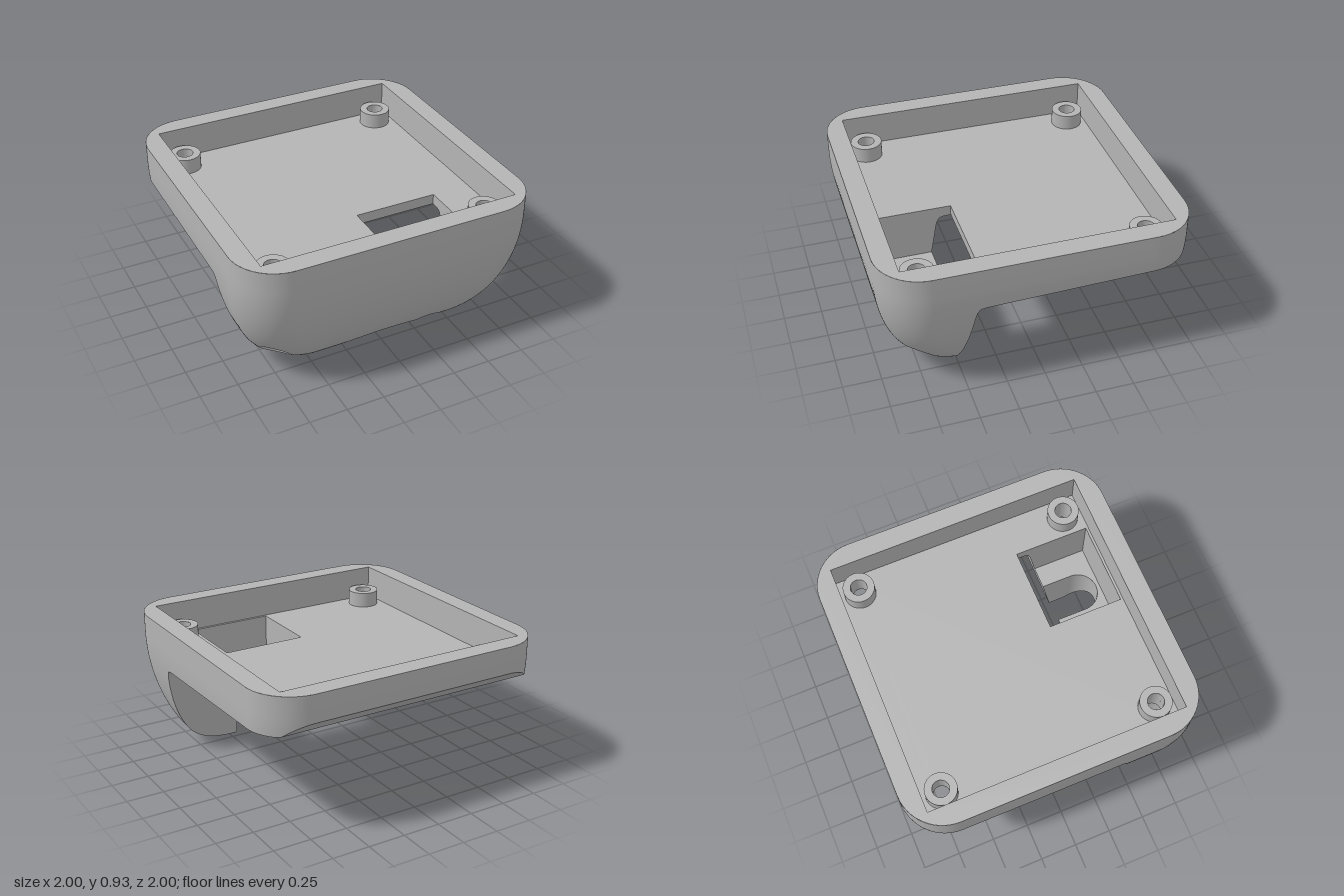
import * as THREE from 'three';
import { toCreasedNormals } from 'three/addons/utils/BufferGeometryUtils.js';

const R = 0.3, RIM = 0.92, FLOOR = 0.7, LEDGE = 0.35, POST_TOP = 0.805, BORE_TOP = 0.6;
const CURVE = 0.78, FLAT = 0.6;            // height of the curved flank, half width of the flat base
const TRAY = 0.867, SCREW = 0.735, POST_R = 0.105, HOLE_R = 0.055;
const BOX = { x0: 0.03, x1: 0.6, z0: 0.34, z1: 0.85 };
const SLOT = { x: 0.315, z: 0.69, r: 0.135 };
const ARCH = { r: 0.879, y: -0.749 };
// side profile of the undercut: [z, y]
const CUT = [[0.54, 0], [0.44, 0.575], [0.43, 0.603], [0.415, 0.62], [0.39, 0.627],
  [0.34, 0.628], [-0.9, 0.66], [-0.92, 0.664], [-1, 0.74]];

const lin = (a, b, n) => Array.from({ length: n + 1 }, (_, i) => a + (b - a) * i / n);
const join = (...lists) => lists.flat().filter((v, i, l) => i === 0 || v - l[i - 1] > 1e-9);

// point on a rounded square of half width s, u = 0..8 (side, corner, side, ...)
function roundedSquare(u, s) {
  const k = Math.floor(u / 2), f = u - 2 * k, e = s - R, a = (f - 1) * Math.PI / 2;
  let x = f < 1 ? s : e + R * Math.cos(a);
  let z = f < 1 ? e * (2 * f - 1) : e + R * Math.sin(a);
  for (let i = 0; i < k; i++) [x, z] = [-z, x];
  return [x, z];
}

function cutPoint(t) {
  const i = Math.min(Math.floor(t), CUT.length - 2), f = t - i;
  return [0, 1].map(j => CUT[i][j] + (CUT[i + 1][j] - CUT[i][j]) * f);
}
function cutHeight(z) {
  let i = 0;
  while (i < CUT.length - 2 && z < CUT[i + 1][0]) i++;
  const [a, b] = [CUT[i], CUT[i + 1]];
  return a[1] + (b[1] - a[1]) * (z - a[0]) / (b[0] - a[0]);
}

// trimming rules: positive where material remains
const inShell = ([x, y, z]) => {
  const a = Math.abs(x), b = Math.abs(z), d = a - b;
  const size = Math.abs(d) < R ? (a + b - Math.sqrt(2 * R * R - d * d)) / 2 + R : Math.max(a, b);
  const c = Math.max(0, 1 - y / CURVE);
  return FLAT + (1 - FLAT) * Math.sqrt(Math.max(0, 1 - c * c)) - size;
};
const aboveCut = ([, y, z]) => y - cutHeight(z);
const aboveArch = ([x, y]) => Math.hypot(x, y - ARCH.y) - ARCH.r;
const outsideSlot = ([x, y, z]) => Math.max(
  Math.hypot(x - SLOT.x, Math.max(0, z - SLOT.z)) - SLOT.r, y - LEDGE - 0.01);
const outsideBox = ([x, y, z]) => Math.max(
  BOX.x0 - x, x - BOX.x1, BOX.z0 - z, z - BOX.z1, LEDGE - y);
const outsideBores = ([x, , z]) => Math.hypot(Math.abs(x) - SCREW, z - SCREW) - POST_R;
const outsideHoles = ([x, , z]) => Math.hypot(Math.abs(x) - SCREW, Math.abs(z) - SCREW) - HOLE_R;

// grid surface point(u, v), trimmed cell by cell with the rules
function surface(us, vs, point, rules = []) {
  const out = [];
  const clip = (poly, rule) => {
    const f = p => rule(point(p[0], p[1])) - 1e-6;
    const vals = poly.map(f);
    if (vals.every(v => v > 0)) return poly;
    const kept = [];
    poly.forEach((a, i) => {
      const j = (i + 1) % poly.length, b = poly[j];
      if (vals[i] > 0) kept.push(a);
      if (vals[i] > 0 === vals[j] > 0) return;
      let [p, q] = vals[i] > 0 ? [a, b] : [b, a];
      for (let n = 0; n < 16; n++) {
        const m = [(p[0] + q[0]) / 2, (p[1] + q[1]) / 2];
        if (f(m) > 0) p = m; else q = m;
      }
      kept.push(p);
    });
    return kept;
  };
  const A = new THREE.Vector3(), B = new THREE.Vector3(), C = new THREE.Vector3();
  for (let i = 0; i < us.length - 1; i++) for (let j = 0; j < vs.length - 1; j++) {
    let poly = [[us[i], vs[j]], [us[i], vs[j + 1]], [us[i + 1], vs[j + 1]], [us[i + 1], vs[j]]];
    for (const rule of rules) if (poly.length) poly = clip(poly, rule);
    const pts = poly.map(p => point(p[0], p[1]));
    for (let k = 1; k < pts.length - 1; k++) {
      A.fromArray(pts[0]); B.fromArray(pts[k]).sub(A); C.fromArray(pts[k + 1]).sub(A);
      if (B.cross(C).length() > 1e-9) out.push(...pts[0], ...pts[k], ...pts[k + 1]);
    }
  }
  const g = new THREE.BufferGeometry();
  g.setAttribute('position', new THREE.Float32BufferAttribute(out, 3));
  return toCreasedNormals(g, 0.5);
}

const rect = (x0, z0, x1, z1) => [[x0, z0], [x1, z0], [x1, z1], [x0, z1]].map(p => new THREE.Vector2(...p));
const circle = (r, x = 0, z = 0) => new THREE.Path().absarc(x, z, r, 0, Math.PI * 2);
// flat horizontal plate facing up; outline is given in x and -z
function plate(points, holes, y) {
  const s = new THREE.Shape(points);
  s.holes = holes;
  return new THREE.ShapeGeometry(s, 24).rotateX(-Math.PI / 2).translate(0, y, 0);
}

export function createModel() {
  const model = new THREE.Group();
  const grey = new THREE.MeshStandardMaterial({ color: 0xb4b4b4, side: THREE.DoubleSide });
  grey.name = 'grey plastic';
  const add = (name, geometry) => {
    const mesh = new THREE.Mesh(geometry, grey);
    mesh.name = name;
    model.add(mesh);
    return mesh;
  };

  // rounded outer shell: base ring, curved flank, upright band
  add('outerShell', surface(lin(0, 8, 320), join(lin(-1, 0, 2), lin(0, 1, 32), lin(1, 2, 2)), (u, v) => {
    const t = Math.min(Math.max(v, 0), 1) * Math.PI / 2;
    const s = v < 0 ? FLAT + 0.15 * v : FLAT + (1 - FLAT) * Math.sin(t);
    const y = v > 1 ? CURVE + (v - 1) * (RIM - CURVE) : CURVE * (1 - Math.cos(t));
    const [x, z] = roundedSquare(u, s);
    return [x, y, z];
  }, [aboveCut, aboveArch, outsideSlot, outsideBores]));

  // undercut: sloping rear of the foot, flat underside, rear chamfer
  add('underside', surface(
    join(lin(-1, BOX.x0, 46), lin(BOX.x0, BOX.x1, 24), lin(BOX.x1, 1, 20)),
    join(lin(0, 1, 24), lin(1, 5, 4), lin(5, 6, 56), lin(6, 8, 6)),
    (x, t) => { const [z, y] = cutPoint(t); return [x, y, z]; },
    [inShell, aboveArch, outsideSlot, outsideBox, outsideHoles]));

  // shallow arch through the foot
  add('footArch', surface(lin(-0.47, 0.47, 60), lin(0.45, 0.9, 30),
    (x, z) => [x, ARCH.y + Math.sqrt(ARCH.r ** 2 - x * x), z], [inShell, aboveCut, outsideSlot]));

  // cable slot, ledge and connector box
  add('cableSlot', surface(join(lin(-1, 0, 6), lin(0, 1, 28), lin(1, 2, 6)), lin(-0.02, LEDGE, 14), (u, y) => {
    const a = Math.min(Math.max(u, 0), 1) * Math.PI;
    const back = Math.max(0, -u, u - 1) * 0.25;
    return [SLOT.x + SLOT.r * Math.cos(a), y, SLOT.z + SLOT.r * Math.sin(a) - back];
  }, [inShell, aboveCut, aboveArch]));
  add('slotLedge', surface(lin(BOX.x0, BOX.x1, 36), lin(0.44, BOX.z1, 28),
    (x, z) => [x, LEDGE, z], [aboveCut, outsideSlot]));
  const corners = rect(BOX.x0, BOX.z0, BOX.x1, BOX.z1);
  add('connectorBox', surface(lin(0, 4, 80), lin(LEDGE, FLOOR, 12), (u, y) => {
    const i = Math.floor(u) % 4, p = corners[i].clone().lerp(corners[(i + 1) % 4], u - Math.floor(u));
    return [p.x, y, p.y];
  }, [aboveCut]));

  // tray: floor, walls and rim
  const holes = [];
  for (const x of [-SCREW, SCREW]) for (const z of [-SCREW, SCREW]) holes.push(circle(HOLE_R, x, z));
  const opening = new THREE.Path(rect(BOX.x0, -BOX.z1, BOX.x1, -BOX.z0));
  add('trayFloor', plate(rect(-TRAY, -TRAY, TRAY, TRAY), [...holes, opening], FLOOR));
  for (let i = 0; i < 4; i++) {
    const wall = new THREE.PlaneGeometry(2 * TRAY, RIM - FLOOR).translate(0, (RIM + FLOOR) / 2, -TRAY);
    add('trayWall', wall.rotateY(i * Math.PI / 2));
  }
  const outline = lin(0, 8, 96).slice(0, -1).map(u => new THREE.Vector2(...roundedSquare(u, 1)));
  add('rim', plate(outline, [new THREE.Path(rect(-TRAY, -TRAY, TRAY, TRAY))], RIM));

  // screw posts with through holes, and deep bores under the front pair
  const tube = (r, x, z, y0, y1, rules) => surface(lin(0, Math.PI * 2, 40), lin(y0, y1, 10),
    (a, y) => [x + r * Math.cos(a), y, z + r * Math.sin(a)], rules);
  const ring = (x, z, y) => plate(circle(POST_R).getPoints(40), [circle(HOLE_R)], y).translate(x, 0, z);
  for (const x of [-SCREW, SCREW]) for (const z of [-SCREW, SCREW]) {
    add('screwPost', tube(POST_R, x, z, FLOOR, POST_TOP));
    add('screwPostTop', ring(x, z, POST_TOP));
    add('screwHole', tube(HOLE_R, x, z, BORE_TOP, POST_TOP, [aboveCut]));
    if (z > 0) {
      add('screwBore', tube(POST_R, x, z, 0, BORE_TOP, [inShell]));
      add('screwBoreSeat', ring(x, z, BORE_TOP));
    }
  }
  return model;
}
